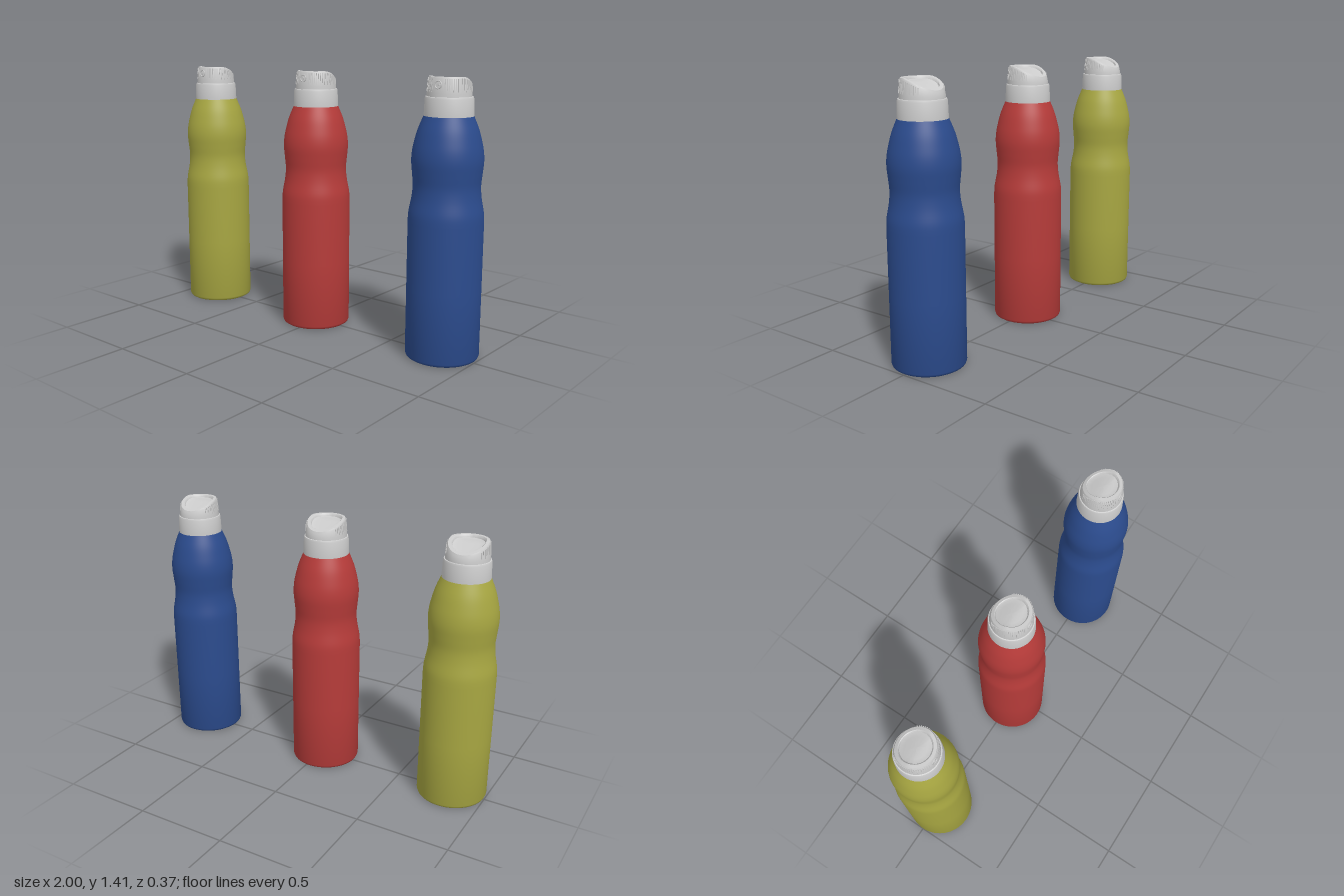
import * as THREE from 'three';
import { toCreasedNormals } from 'three/addons/utils/BufferGeometryUtils.js';

const SEG = 64;
const grey = new THREE.MeshStandardMaterial({ color: 0xcccccc });
const pts = (list) => list.map(([r, y]) => new THREE.Vector2(r, y));

function add(parent, name, geometry, material) {
  const mesh = new THREE.Mesh(geometry, material);
  mesh.name = name;
  parent.add(mesh);
  return mesh;
}

function lathe(profile, crease = 0.6) {
  return toCreasedNormals(new THREE.LatheGeometry(profile, SEG), crease);
}

// Height of the cap top: level at the front, falling away to the back
function topHeight(z) {
  const t = Math.max(0, 0.03 - z) / 0.135;
  return 1.41 - 0.058 * Math.pow(t, 1.35);
}

// Can with a recessed base, waist and rounded shoulder
function bodyGeometry() {
  const base = pts([[0, 0.035], [0.08, 0.032], [0.13, 0.022], [0.15, 0.004], [0.16, 0],
    [0.175, 0], [0.183, 0.005], [0.187, 0.016], [0.187, 0.36]]);
  const upper = new THREE.SplineCurve(pts([[0.187, 0.7], [0.184, 0.75], [0.171, 0.82], [0.166, 0.88],
    [0.171, 0.94], [0.176, 1.0], [0.173, 1.05], [0.163, 1.1], [0.146, 1.16], [0.119, 1.225]]));
  return lathe([...base, ...upper.getPoints(36)], 0.7);
}

// Spray head: a turned profile whose top is bent to the sloping height
function headGeometry() {
  const g = new THREE.LatheGeometry(pts([[0.11, 1.31], [0.109, 1.33], [0.103, 1.403], [0.099, 1.41],
    [0.084, 1.41], [0.08, 1.406], [0.077, 1.396], [0.07, 1.394], [0.055, 1.393],
    [0.035, 1.392], [0.015, 1.392], [0, 1.392]]), SEG);
  const p = g.attributes.position;
  for (let i = 0; i < p.count; i++) {
    if (p.getY(i) > 1.35) p.setY(i, p.getY(i) - 1.41 + topHeight(p.getZ(i)));
  }
  return toCreasedNormals(g, 0.6);
}

function createCap() {
  const cap = new THREE.Group();
  cap.name = 'cap';
  add(cap, 'collar', lathe(pts([[0.112, 1.215], [0.121, 1.217], [0.121, 1.225], [0.118, 1.304],
    [0.115, 1.313], [0.108, 1.315]])), grey);
  add(cap, 'sprayHead', headGeometry(), grey);

  // Grip ribs around the front and sides, clear of the nozzle
  const ribs = new THREE.Group();
  ribs.name = 'gripRibs';
  cap.add(ribs);
  for (let i = 0; i < 19; i++) {
    for (const side of [-1, 1]) {
      const a = side * (0.34 + i * 0.1);
      const top = topHeight(0.105 * Math.cos(a)) - 0.008;
      const bottom = 1.338 + 0.01 * (i % 2);
      if (top - bottom < 0.012) continue;
      const rib = add(ribs, 'rib', new THREE.BoxGeometry(0.0045, top - bottom, 0.004), grey);
      const y = (top + bottom) / 2;
      const r = 0.109 - (y - 1.33) * 0.082;
      rib.position.set(r * Math.sin(a), y, r * Math.cos(a));
      rib.rotation.order = 'YXZ';
      rib.rotation.set(-0.08, a, 0);
    }
  }

  // Nozzle ring with a small outlet
  const nozzle = new THREE.Group();
  nozzle.name = 'nozzle';
  nozzle.position.set(0, 1.373, 0.105);
  nozzle.rotation.x = -0.08;
  cap.add(nozzle);
  add(nozzle, 'nozzleRing', new THREE.TorusGeometry(0.018, 0.003, 8, 28), grey);
  add(nozzle, 'nozzleOutlet', new THREE.CylinderGeometry(0.007, 0.007, 0.006, 16), grey).rotation.x = Math.PI / 2;
  return cap;
}

export function createModel() {
  const model = new THREE.Group();
  model.name = 'sprayBottles';
  const body = bodyGeometry();
  const bottles = [['yellowBottle', -0.813, 0xa6a541], ['redBottle', -0.025, 0xb53b39], ['blueBottle', 0.813, 0x2b4b8d]];
  for (const [name, x, color] of bottles) {
    const bottle = new THREE.Group();
    bottle.name = name;
    bottle.position.x = x;
    add(bottle, 'body', body, new THREE.MeshStandardMaterial({ color }));
    bottle.add(createCap());
    model.add(bottle);
  }
  return model;
}
